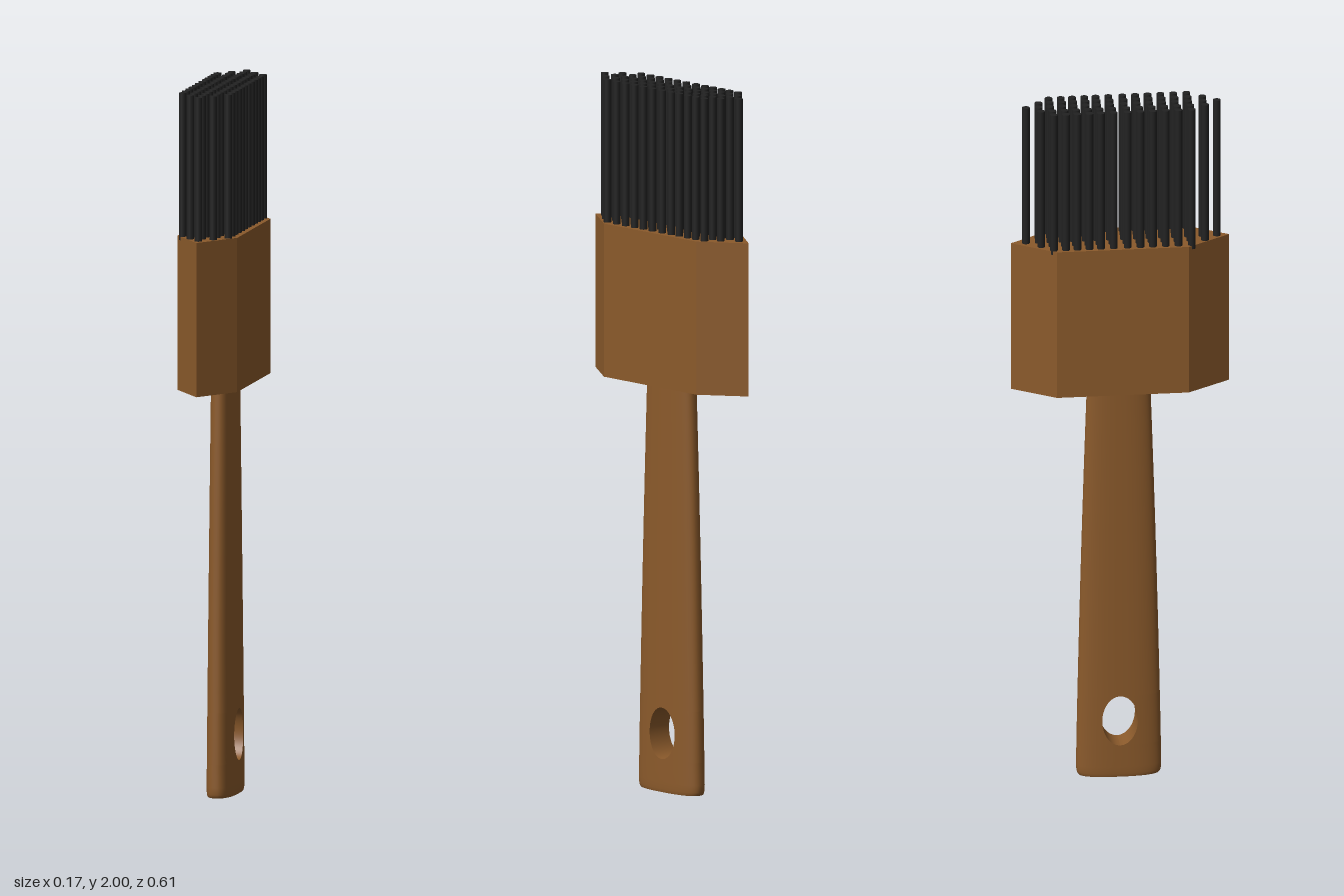
import * as THREE from 'three';

const HEAD_BOTTOM = 1.16, HEAD_TOP = 1.595;
const HOLE = { y: 0.167, halfWidth: 0.05, halfHeight: 0.073 };

// Skin a list of rows, each a list of [x, y, z] points
function loft(rows) {
  const n = rows[0].length, index = [];
  for (let i = 0; i < rows.length - 1; i++) {
    for (let j = 0; j < n - 1; j++) {
      const a = i * n + j, b = a + 1, c = a + n, d = c + 1;
      index.push(a, b, c, b, d, c);
    }
  }
  const geo = new THREE.BufferGeometry();
  geo.setAttribute('position', new THREE.Float32BufferAttribute(rows.flat(2), 3));
  geo.setIndex(index);
  geo.computeVertexNormals();
  return geo;
}

// Handle half-width (z), half-thickness (x) and hole half-width at height y
function section(y) {
  const k = y / HEAD_BOTTOM;
  const round = y < 0.03 ? 0.94 + 0.06 * Math.sqrt(1 - (1 - y / 0.03) ** 2) : 1;
  const h = (y - HOLE.y) / HOLE.halfHeight;
  return {
    w: (0.12 - 0.02 * k - 0.011 * k * k) * round,
    t: (0.041 - 0.009 * k) * round,
    a: HOLE.halfWidth * Math.sqrt(Math.max(0, 1 - h * h)),
  };
}
const thickness = (s, t) => t * Math.pow(Math.max(0, 1 - s ** 2.5), 1 / 2.5);

// Outline of one half of the handle, from the middle round the edge and back
function halfRow(y, scale = 1) {
  const { w, t, a } = section(y), row = [], N = 16;
  for (let j = -N; j <= N; j++) {
    const s = a / w + (1 - a / w) * Math.sin((1 - Math.abs(j) / N) * Math.PI / 2);
    row.push([Math.sign(j) * thickness(s, t) * scale, y, s * w * scale]);
  }
  return row;
}

export function createModel() {
  const model = new THREE.Group();
  const wood = new THREE.MeshStandardMaterial({ color: 0x8b5a2b });
  const dark = new THREE.MeshStandardMaterial({ color: 0x222222 });
  const add = (parent, geo, mat, name) => {
    const mesh = new THREE.Mesh(geo, mat);
    mesh.name = name;
    parent.add(mesh);
    return mesh;
  };

  // Handle: two equal halves with the hanging hole between them
  const holeYs = [];
  for (let i = 0; i <= 28; i++) holeYs.push(HOLE.y - HOLE.halfHeight * Math.cos(i / 28 * Math.PI));
  const ys = [0, 0.004, 0.01, 0.02, 0.03, 0.06, ...holeYs, 0.3, 0.45, 0.6, 0.75, 0.9, 1.05, HEAD_BOTTOM + 0.01];
  const skin = loft(ys.map(y => halfRow(y)));
  const end = loft([halfRow(0, 0), halfRow(0)]);
  const wall = loft(holeYs.map(y => {
    const { w, t, a } = section(y), x = thickness(a / w, t);
    return [[x, y, a], [-x, y, a]];
  }));
  const handle = new THREE.Group();
  handle.name = 'handle';
  handle.position.set(0.004, 0, -0.005);
  for (const turn of [0, Math.PI]) {
    const half = new THREE.Group();
    half.name = 'handleHalf';
    half.rotation.y = turn;
    add(half, skin, wood, 'handleSkin');
    add(half, end, wood, 'handleEnd');
    add(half, wall, wood, 'hangingHole');
    handle.add(half);
  }
  model.add(handle);

  // Head: long hexagonal block (shape y becomes -z)
  const hexagon = new THREE.Shape([
    [0, -0.305], [0.086, -0.182], [0.086, 0.188], [0, 0.308], [-0.086, 0.188], [-0.086, -0.182],
  ].map(p => new THREE.Vector2(...p)));
  const block = new THREE.ExtrudeGeometry(hexagon, { depth: HEAD_TOP - HEAD_BOTTOM, bevelEnabled: false });
  block.rotateX(-Math.PI / 2);
  add(model, block, wood, 'head').position.y = HEAD_BOTTOM;

  // Bristles: five columns, the outer ones shorter to follow the pointed ends
  const bristles = new THREE.Group();
  bristles.name = 'bristles';
  const rowZ = [-0.266, -0.23, -0.198, -0.164, -0.132, -0.098, -0.066, -0.03,
    0.009, 0.045, 0.08, 0.116, 0.152, 0.189, 0.23, 0.27];
  const length = 2 - HEAD_TOP + 0.01;
  const bristle = new THREE.CylinderGeometry(0.0108, 0.0108, length, 16);
  for (let c = -2; c <= 2; c++) {
    const skip = Math.abs(c);
    for (let r = skip; r < rowZ.length - skip; r++) {
      add(bristles, bristle, dark, 'bristle')
        .position.set(-0.003 + c * 0.0328, 2 - length / 2, rowZ[r] + (c ? 0.003 : 0));
    }
  }
  model.add(bristles);
  return model;
}
